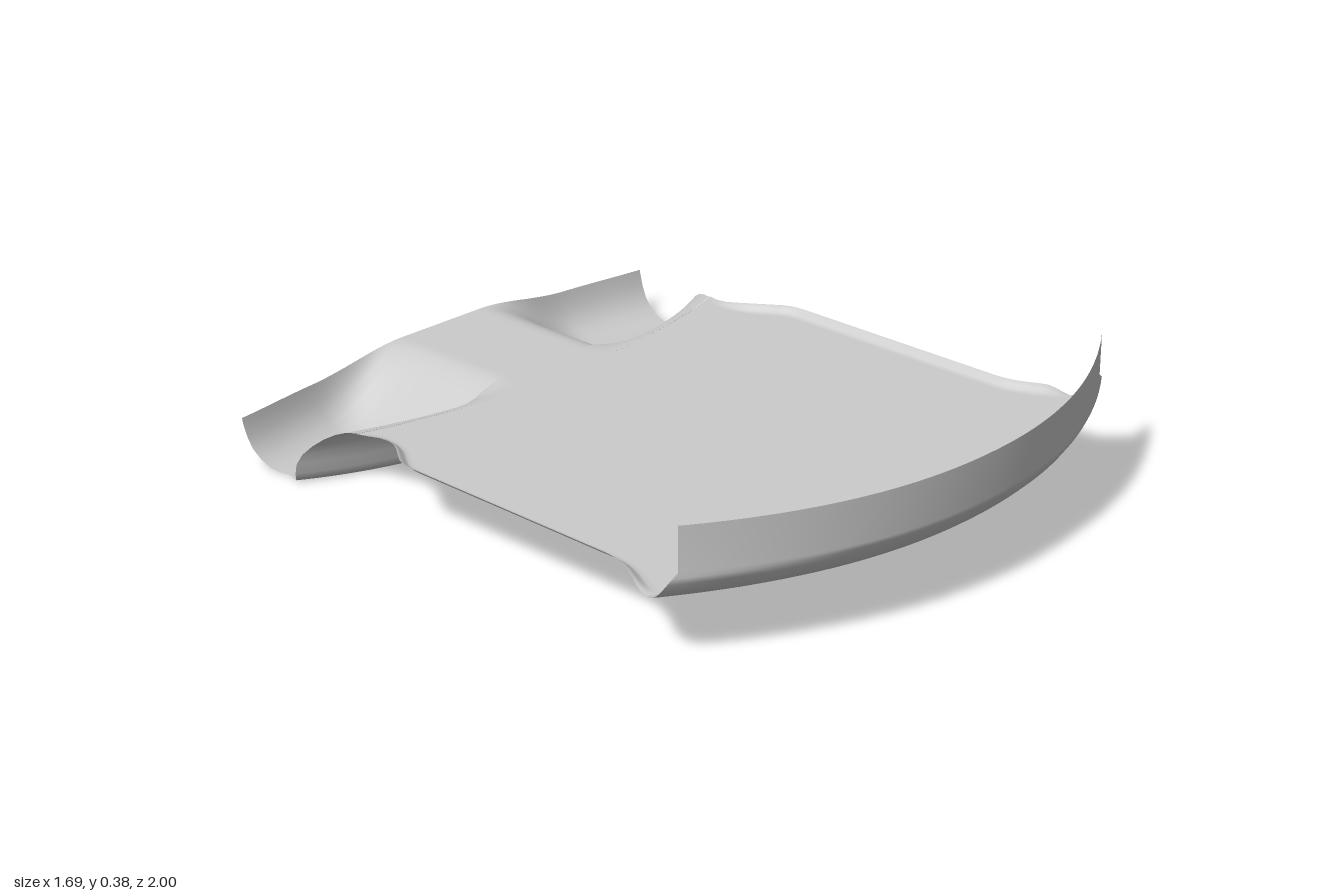
import * as THREE from 'three';

const FLOOR = 0.17;
const { lerp, smoothstep } = THREE.MathUtils;

// Piecewise interpolation through [key, value] pairs with ascending keys
function sample(points, k) {
  if (k <= points[0][0]) return points[0][1];
  for (let i = 1; i < points.length; i++) {
    const [k0, v0] = points[i - 1], [k1, v1] = points[i];
    if (k <= k1) return lerp(v0, v1, (k - k0) / (k1 - k0));
  }
  return points[points.length - 1][1];
}

// Columns across the sheet, -1..1, packed closer at the rolled side edges
const half = [];
for (let i = 0; i <= 38; i++) half.push(i / 40);
half.push(0.965, 0.975, 0.985, 0.993, 1);
const columns = [...half.slice(1).reverse().map(u => -u), ...half];

// Half width of the floor along z
const outline = [
  [-0.6, 0.69], [-0.55, 0.675], [-0.5, 0.67], [-0.45, 0.678], [-0.41, 0.695], [-0.36, 0.73],
  [-0.33, 0.75], [-0.29, 0.758], [0.44, 0.758], [0.48, 0.765], [0.52, 0.78],
  [0.56, 0.803], [0.6, 0.822], [0.63, 0.825],
];

const frontArc = u => 1 - 0.27 * Math.pow(Math.abs(u), 2.1);
const wellArc = u => -0.57 - 0.17 * Math.pow(Math.abs(u), 2.6);
const wellRun = u => 0.09 + 0.07 * Math.pow(Math.abs(u), 3);
// 0 on the centre tunnel, 1 in the footwells
const wellDepth = u => smoothstep(Math.abs(u) * 0.76, 0.15, 0.48);

// Sheet from rows; each row maps u to [x, y, z]
function sheet(name, rows, material) {
  const pos = [], index = [], n = columns.length;
  rows.forEach(row => columns.forEach(u => pos.push(...row(u))));
  for (let r = 0; r < rows.length - 1; r++) {
    for (let c = 0; c < n - 1; c++) {
      const a = r * n + c, b = a + n;
      index.push(a, a + 1, b, a + 1, b + 1, b);
    }
  }
  const geo = new THREE.BufferGeometry();
  geo.setAttribute('position', new THREE.Float32BufferAttribute(pos, 3));
  geo.setIndex(index);
  geo.computeVertexNormals();
  const mesh = new THREE.Mesh(geo, material);
  mesh.name = name;
  return mesh;
}

export function createModel() {
  const group = new THREE.Group();
  group.name = 'floorPan';
  const material = new THREE.MeshStandardMaterial({ color: 0xcccccc, side: THREE.DoubleSide });

  // Curved front panel: upright wall over a rounded fold [inset, y, half width]
  const frontRows = [
    [0, 0.385, 0.82], [0, 0.262, 0.82], [0.004, 0.25, 0.836], [0.015, 0.232, 0.843],
    [0.033, 0.208, 0.845], [0.055, 0.187, 0.842], [0.078, 0.174, 0.834], [0.1, FLOOR, 0.825],
  ].map(([inset, y, w]) => u => [u * w, y, frontArc(u) - inset]);
  group.add(sheet('frontPanel', frontRows, material));

  // Flat floor with a small upturned lip along both sides
  const floorRows = [];
  const STEPS = 60;
  for (let i = 0; i <= STEPS; i++) {
    const t = i / STEPS;
    const zAt = u => lerp(frontArc(u) - 0.1, wellArc(u) + wellRun(u), t);
    const w = sample(outline, zAt(1));
    const fade = smoothstep(t, 0, 0.06) * (1 - smoothstep(t, 0.85, 1));
    floorRows.push(u => [
      u * w,
      FLOOR + 0.02 * fade * smoothstep(Math.abs(u), 0.965, 1),
      zAt(u),
    ]);
  }
  group.add(sheet('floor', floorRows, material));

  // Rear footwells either side of the tunnel: rounded step down [run fraction, y, half width]
  const wellY = (u, y) => lerp(FLOOR, y, wellDepth(u));
  const rearRows = [
    [1, FLOOR, 0.68], [0.8, 0.166, 0.69], [0.6, 0.154, 0.703], [0.42, 0.137, 0.72],
    [0.26, 0.115, 0.74], [0.13, 0.09, 0.758], [0.04, 0.06, 0.768], [0, 0.03, 0.768],
    [-0.04, 0.012, 0.762], [-0.12, 0, 0.75],
  ].map(([f, y, w]) => u => [u * w, wellY(u, y), wellArc(u) + f * wellRun(u)]);

  // Footwell bottoms and upturned rear lip [z, y, half width]
  const lip = [
    [-0.8, 0, 0.738], [-0.87, 0, 0.748], [-0.905, 0.006, 0.755], [-0.94, 0.022, 0.76],
    [-0.968, 0.048, 0.765], [-0.985, 0.08, 0.768], [-0.995, 0.11, 0.77], [-1, 0.13, 0.77],
  ];
  lip.forEach(([z, y, w]) => rearRows.push(u => [
    u * w, wellY(u, y), z + 0.045 * smoothstep(Math.abs(u), 0.5, 1.15) * 1.15 * (z < -0.85 ? 1 : 0),
  ]));
  group.add(sheet('rearFootwells', rearRows, material));

  return group;
}
